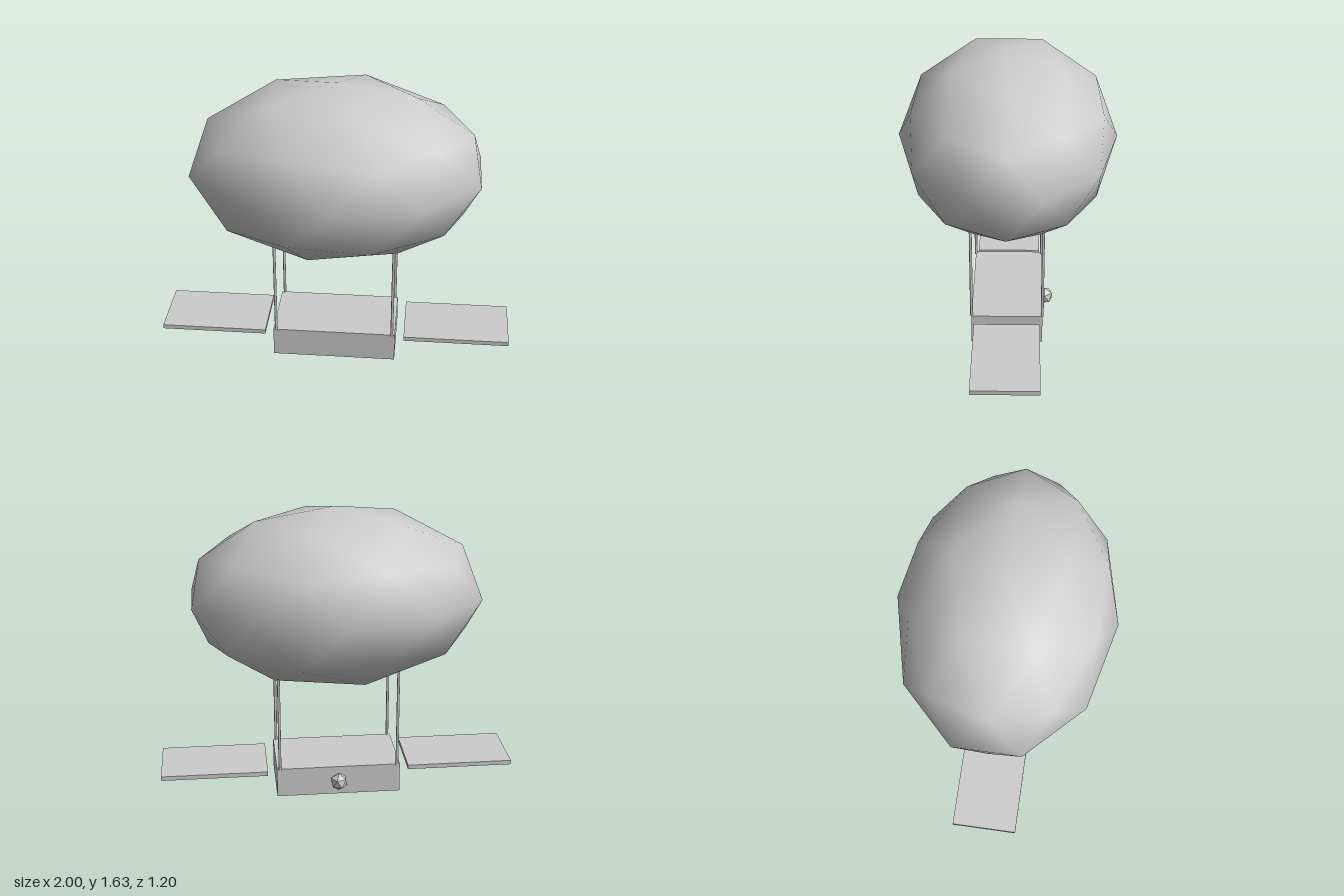
import * as THREE from 'three';

export function createModel() {
  const group = new THREE.Group();
  const grey = new THREE.MeshStandardMaterial({ color: 0xcccccc });
  grey.name = 'plain grey';

  function add(name, geometry, x, y, z) {
    const mesh = new THREE.Mesh(geometry, grey);
    mesh.name = name;
    mesh.position.set(x, y, z);
    group.add(mesh);
    return mesh;
  }

  // Icosphere with a vertex at each pole of the y axis
  function icosphere(detail) {
    const golden = (1 + Math.sqrt(5)) / 2;
    return new THREE.IcosahedronGeometry(1, detail).rotateZ(-Math.atan(1 / golden));
  }

  // Smooth, stretched gas envelope
  add('envelope', icosphere(1).scale(0.83, 0.5, 0.6), 0, 1.135, 0);

  // Gondola box
  add('gondola', new THREE.BoxGeometry(0.7, 0.17, 0.4), 0, 0.085, 0);

  // Flat side wings and the four struts up to the envelope
  const bottom = 0.165, top = 0.77;
  for (const side of [1, -1]) {
    const label = side > 0 ? 'left' : 'right';
    add(label + 'Wing', new THREE.BoxGeometry(0.6, 0.025, 0.37), side * 0.7, 0.1375, 0);
    for (const end of [1, -1]) {
      add(label + (end > 0 ? 'Front' : 'Back') + 'Strut',
        new THREE.CylinderGeometry(0.008, 0.008, top - bottom, 8),
        side * 0.333, (top + bottom) / 2, end * 0.199);
    }
  }

  // Faceted hub on the back of the gondola
  add('rearHub', icosphere(0).scale(0.051, 0.051, 0.051), 0, 0.084, -0.216);

  return group;
}
